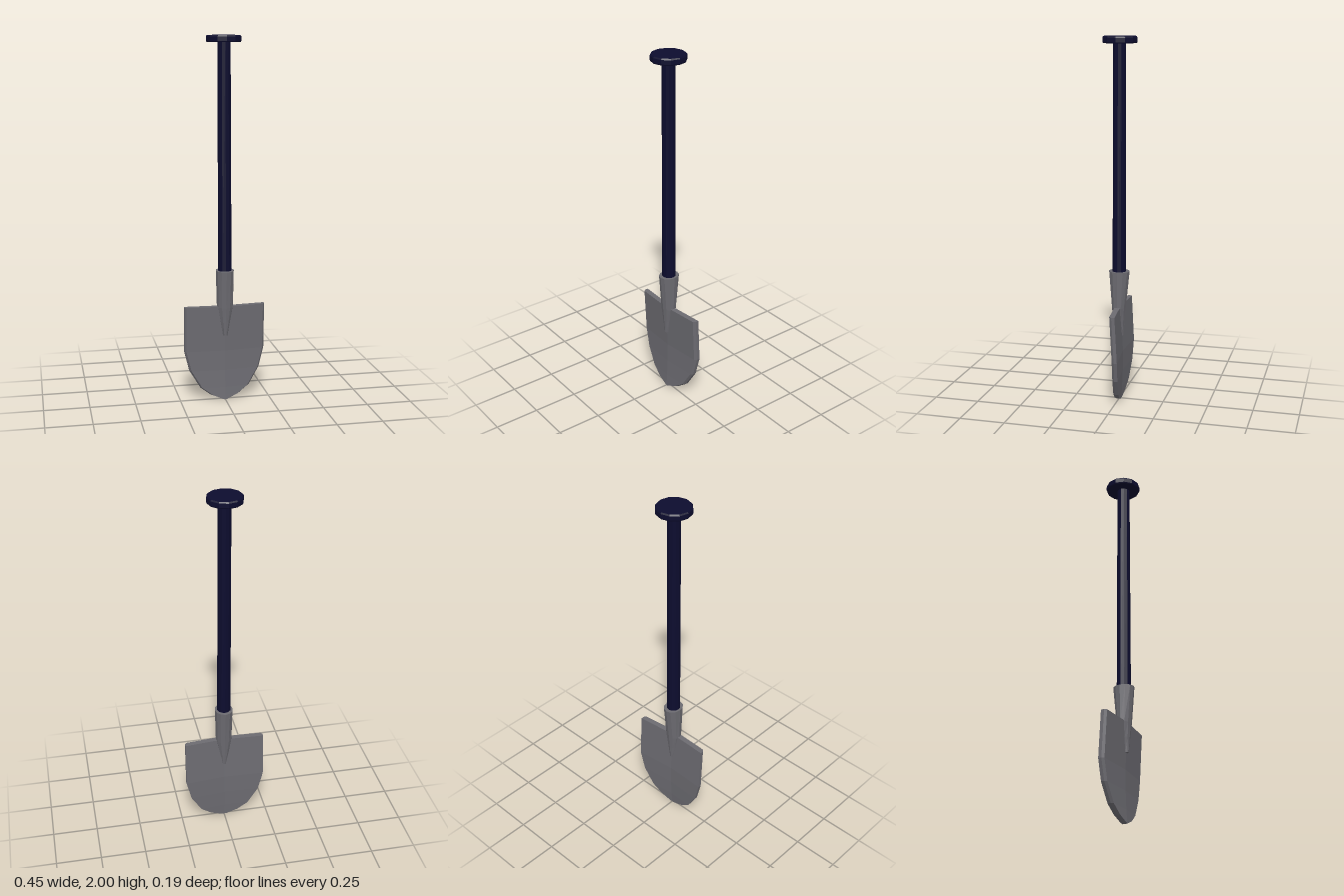
import * as THREE from 'three';

const steel = new THREE.MeshStandardMaterial({ color: 0x6c6b71, flatShading: true });
steel.name = 'grey steel';
const navy = new THREE.MeshStandardMaterial({ color: 0x0c0c2e, flatShading: true });
navy.name = 'dark navy';

// Closed surface through rings of equal point count, listed bottom to top;
// ring points run counter-clockwise as seen from above.
function loft(rings) {
  const n = rings[0].length;
  const pos = rings.flat(2);
  const index = [];
  for (let r = 0; r < rings.length - 1; r++) {
    for (let i = 0; i < n; i++) {
      const j = (i + 1) % n;
      const a = r * n + i, b = r * n + j, c = a + n, d = b + n;
      index.push(a, b, d, a, d, c);
    }
  }
  // end caps fan out from ring centres
  [0, rings.length - 1].forEach((r) => {
    const centre = [0, 1, 2].map((k) => rings[r].reduce((s, p) => s + p[k], 0) / n);
    const c = pos.length / 3;
    pos.push(...centre);
    for (let i = 0; i < n; i++) {
      const a = r * n + i, b = r * n + (i + 1) % n;
      index.push(...(r === 0 ? [c, b, a] : [c, a, b]));
    }
  });
  const g = new THREE.BufferGeometry();
  g.setAttribute('position', new THREE.Float32BufferAttribute(pos, 3));
  g.setIndex(index);
  g.computeVertexNormals();
  return g;
}

// Elliptical ring
function ring(x, y, z, rx, rz, n = 12) {
  return Array.from({ length: n }, (_, i) => {
    const t = (i / n) * Math.PI * 2;
    return [x + rx * Math.sin(t), y, z + rz * Math.cos(t)];
  });
}

// Folded blade section with chamfered front corners
function bladeRing([y, w, z]) {
  const thick = 0.03;
  const bevel = Math.min(0.01, w * 0.4);
  const fold = (x) => z - (x > 0 ? 0.102 : 0.036) * Math.abs(x);
  const front = (x, d = 0) => [x, y, fold(x) - d];
  return [
    front(-w, 0.012), front(-w + bevel), front(0), front(w - bevel), front(w, 0.012),
    front(w, thick), front(0, thick), front(-w, thick),
  ];
}

function part(name, geometry, material) {
  const mesh = new THREE.Mesh(geometry, material);
  mesh.name = name;
  return mesh;
}

export function createModel() {
  const model = new THREE.Group();
  model.name = 'shovel';

  // height, half width, front z
  const bladeRows = [
    [0, 0.012, 0.02], [0.027, 0.08, 0.018], [0.07, 0.138, 0.015], [0.168, 0.197, 0.011],
    [0.28, 0.225, 0.01], [0.4, 0.225, 0.016], [0.535, 0.225, 0.023],
  ];
  model.add(part('blade', loft(bladeRows.map(bladeRing)), steel));

  // Socket narrows into a flattened tongue on the blade
  model.add(part('socket', loft([
    ring(0, 0.37, 0.003, 0.014, 0.025),
    ring(0, 0.45, 0.003, 0.03, 0.032),
    ring(0, 0.53, 0.003, 0.045, 0.039),
    ring(0, 0.735, 0.001, 0.05, 0.058),
  ]), steel));

  // Slightly tapered and leaning shaft
  model.add(part('shaft', loft([
    ring(0, 0.6, 0.001, 0.038, 0.038),
    ring(-0.004, 1.975, 0.001, 0.035, 0.035),
  ]), navy));

  // Round grip plate with small bevels
  model.add(part('gripPlate', loft([
    ring(-0.006, 1.964, -0.001, 0.092, 0.092),
    ring(-0.006, 1.97, -0.001, 0.095, 0.095),
    ring(-0.006, 1.993, -0.001, 0.095, 0.095),
    ring(-0.006, 2, -0.001, 0.09, 0.09),
  ]), navy));

  return model;
}
